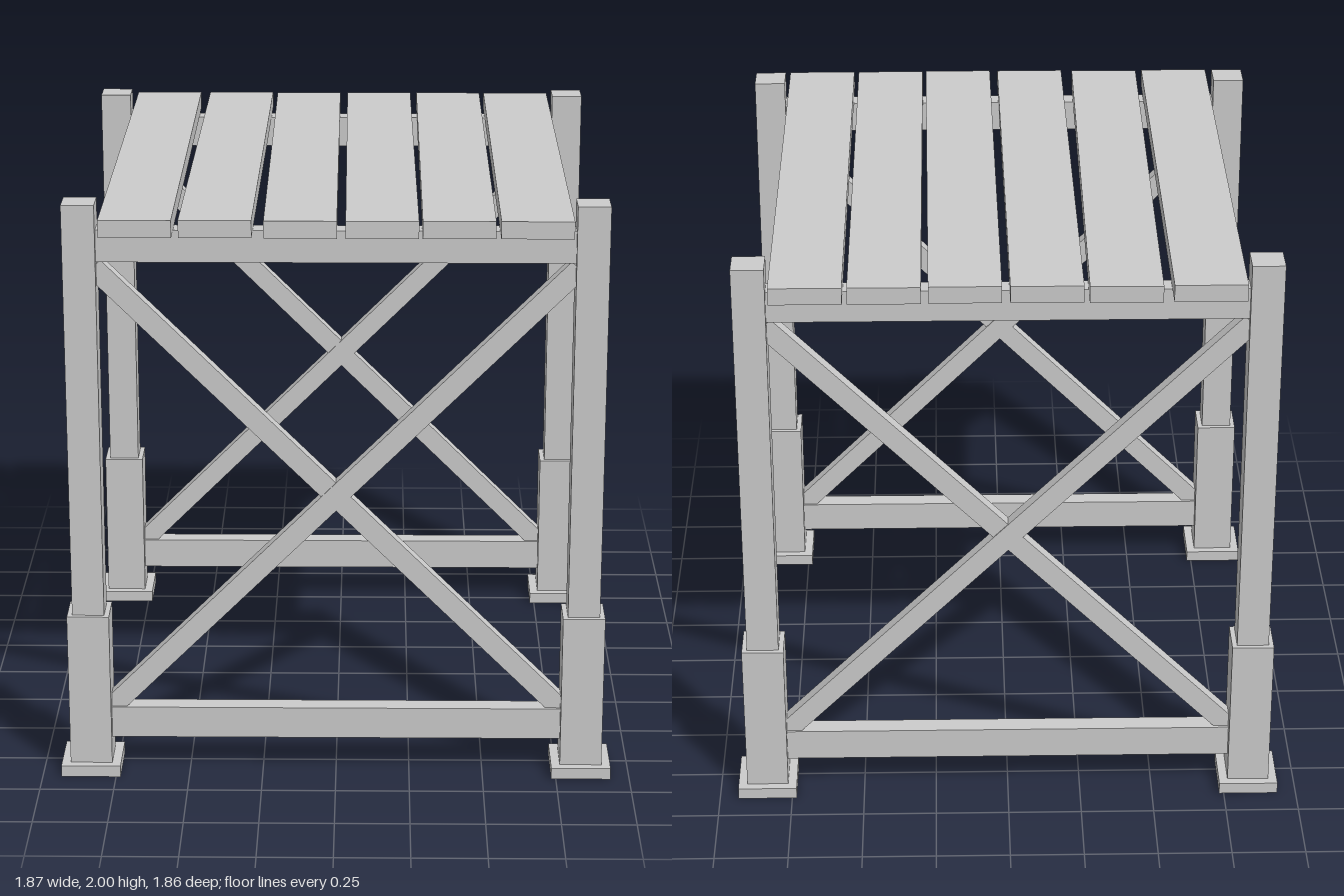
import * as THREE from 'three';

const material = new THREE.MeshStandardMaterial({ color: 0xcccccc, flatShading: true });

function box(parent, name, size, position) {
  const mesh = new THREE.Mesh(new THREE.BoxGeometry(...size), material);
  mesh.name = name;
  mesh.position.set(...position);
  parent.add(mesh);
  return mesh;
}

// Square post with a thicker lower sleeve and a foot plate
function createLeg(x) {
  const leg = new THREE.Group();
  leg.name = 'leg';
  leg.position.x = x;
  box(leg, 'footPlate', [0.202, 0.04, 0.202], [0, 0.02, 0]);
  box(leg, 'sleeve', [0.142, 0.535, 0.142], [0, 0.3075, 0]);
  box(leg, 'post', [0.108, 1.425, 0.108], [0, 1.2875, 0]);
  return leg;
}

// Two legs joined by rails and a cross brace
function createEndFrame() {
  const frame = new THREE.Group();
  for (const side of [-1, 1]) {
    frame.add(createLeg(side * 0.835));
    const brace = box(frame, 'crossBrace', [2.24, 0.07, 0.05], [0, 0.992, side * 0.002]);
    brace.rotation.z = side * Math.PI / 4;
  }
  box(frame, 'topRail', [1.6, 0.108, 0.068], [0, 1.859, 0]);
  box(frame, 'bottomRail', [1.6, 0.11, 0.068], [0, 0.175, 0]);
  return frame;
}

export function createModel() {
  const model = new THREE.Group();
  model.name = 'plankPlatform';

  const front = createEndFrame();
  front.name = 'frontFrame';
  front.position.z = 0.798;
  const back = createEndFrame();
  back.name = 'backFrame';
  back.position.z = -0.798;
  back.rotation.y = Math.PI;
  model.add(front, back);

  // Deck planks: centre x, slight skew, z shift
  const planks = [
    [-0.646, 0, 0], [-0.382, -0.0065, -0.004], [-0.118, 0.005, 0.002],
    [0.145, 0.006, 0.003], [0.398, 0, 0], [0.65, 0, 0],
  ];
  for (const [x, skew, z] of planks) {
    box(model, 'deckPlank', [0.236, 0.058, 1.856], [x, 1.942, z]).rotation.y = skew;
  }
  return model;
}
